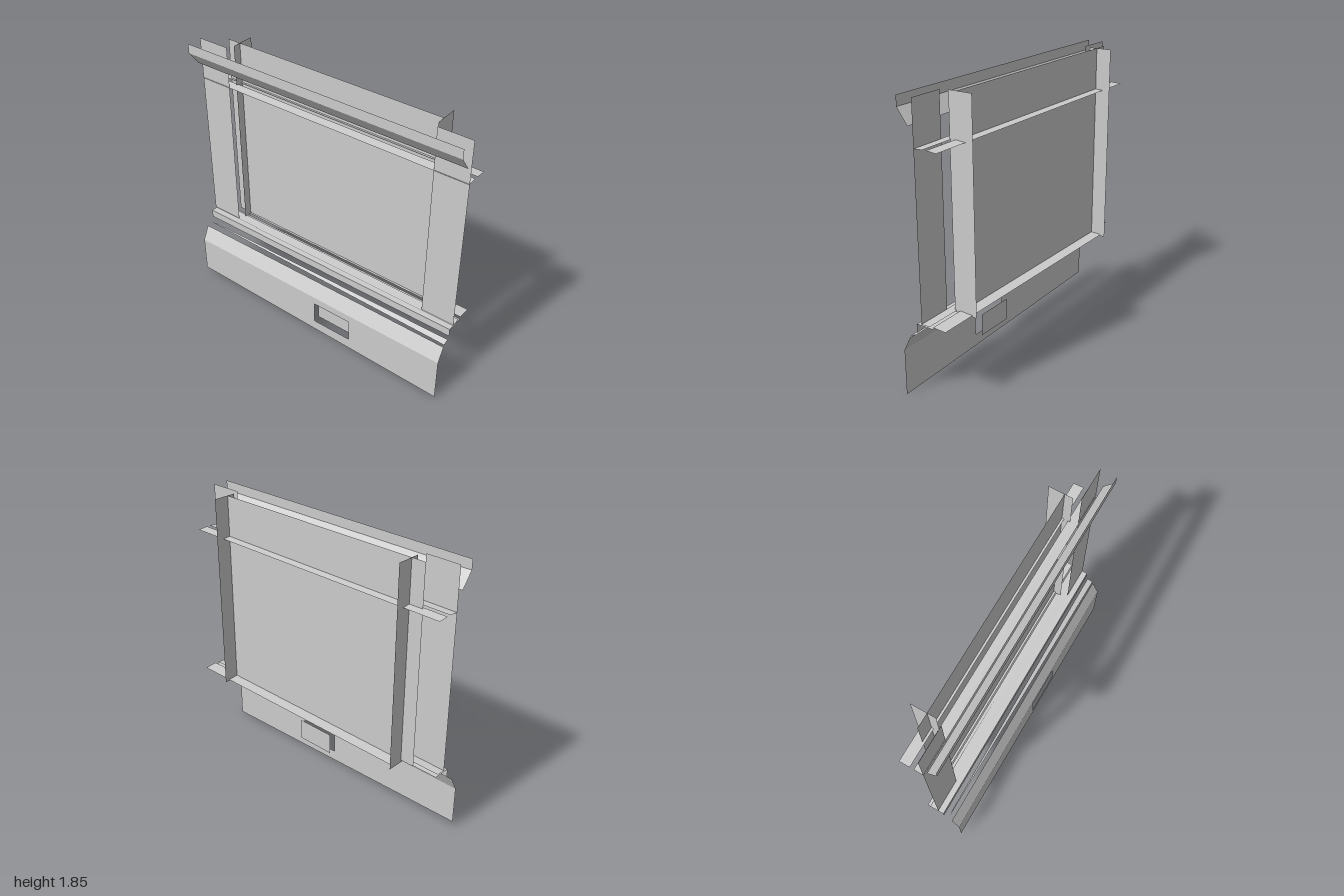
import * as THREE from 'three';

const material = new THREE.MeshStandardMaterial({
  color: 0xcccccc, side: THREE.DoubleSide, flatShading: true,
});

export function createModel() {
  const model = new THREE.Group();

  const add = (name, geometry) => {
    const mesh = new THREE.Mesh(geometry, material);
    mesh.name = name;
    model.add(mesh);
    return mesh;
  };

  // Thin sheet through four corners, listed in order around the edge
  const quad = (name, a, b, c, d) => {
    const geometry = new THREE.BufferGeometry();
    geometry.setAttribute('position',
      new THREE.Float32BufferAttribute([a, b, c, a, c, d].flat(), 3));
    geometry.computeVertexNormals();
    return add(name, geometry);
  };

  // Sheet facing the front
  const upright = (name, x0, x1, y0, y1, z) =>
    quad(name, [x0, y0, z], [x1, y0, z], [x1, y1, z], [x0, y1, z]);

  // Sheet running across x, from a front edge to a back edge
  const strip = (name, x0, x1, [y0, z0], [y1, z1]) =>
    quad(name, [x0, y0, z0], [x1, y0, z0], [x1, y1, z1], [x0, y1, z1]);

  // Lower skirt with a rectangular opening and a slanted bottom edge
  const skirt = new THREE.Shape([[-1, 0.045], [1, 0], [1, 0.305], [-1, 0.305]]
    .map(([x, y]) => new THREE.Vector2(x, y)));
  skirt.holes.push(new THREE.Path([[0.025, 0.095], [0.025, 0.25], [0.315, 0.25], [0.315, 0.095]]
    .map(([x, y]) => new THREE.Vector2(x, y))));
  add('lowerSkirt', new THREE.ShapeGeometry(skirt)).position.z = 0.175;
  strip('skirtSlope', -1, 1, [0.305, 0.175], [0.405, 0.125]);
  upright('hatchPane', 0.025, 0.305, 0.1, 0.25, 0.13);

  // Tapered trim, sill edge and sill
  quad('taperedTrim', [-0.98, 0.43, 0.1], [1, 0.42, 0.12], [1, 0.435, 0.08], [-0.93, 0.435, 0.095]);
  upright('sillEdge', -1, 1, 0.455, 0.51, 0.068);
  strip('sill', -1, 1, [0.51, 0.068], [0.512, -0.05]);

  // Central panel and the outer panels with their posts
  upright('centralPanel', -0.845, 0.75, 0.525, 1.85, -0.07);
  for (const s of [-1, 1]) {
    upright('outerPanel', Math.min(s, s * 0.77), Math.max(s, s * 0.77), 0.52, 1.85, 0.03);
    const x = s * 0.75;
    quad('post', [x, 0.51, -0.015], [x, 0.51, -0.175], [x, 1.85, -0.175], [x, 1.85, -0.015]);
  }

  // Horizontal rails in front of and behind the central panel
  strip('upperFrontRail', -1, 1, [1.57, 0.035], [1.575, -0.03]);
  strip('upperRearRail', -1, 1, [1.575, -0.055], [1.57, -0.125]);
  strip('lowerFrontRail', -1, 1, [0.518, 0.035], [0.522, -0.03]);
  strip('lowerRearRail', -0.75, 1, [0.525, -0.055], [0.52, -0.145]);

  // Top fascia with its inward slope
  upright('fascia', -1, 1, 1.785, 1.85, 0.138);
  strip('fasciaSlope', -1, 1, [1.785, 0.138], [1.69, 0.066]);

  return model;
}
